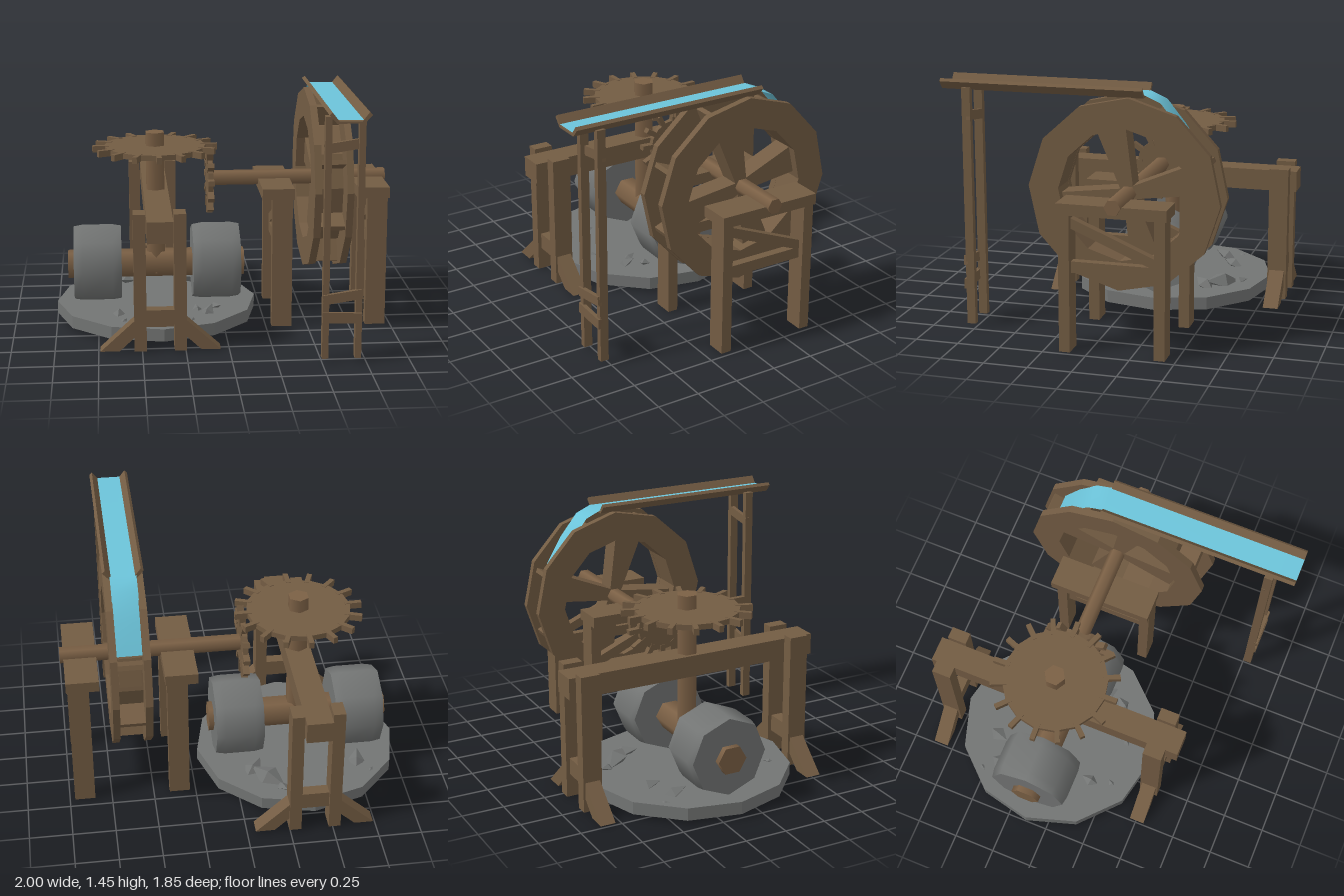
import * as THREE from 'three';
import { toCreasedNormals } from 'three/addons/utils/BufferGeometryUtils.js';

export function createModel() {
  const root = new THREE.Group();
  root.name = 'waterMill';
  const mat = (name, color, side = THREE.FrontSide) => {
    const m = new THREE.MeshStandardMaterial({ color, side });
    m.name = name;
    return m;
  };
  const wood = mat('wood', 0x735c43);
  const shaftWood = mat('shaftWood', 0x7b6045);
  const stone = mat('stone', 0x737574);
  const water = mat('water', 0x6cc4da, THREE.DoubleSide);

  const CX = -0.395, CZ = -0.155, AY = 0.855; // mill centre and wheel axle height
  let seed = 7;
  const rnd = () => (seed = (seed * 16807) % 2147483647) / 2147483647;

  const group = (name, parent = root) => {
    const g = new THREE.Group();
    g.name = name;
    parent.add(g);
    return g;
  };
  const add = (parent, name, geo, material, x = 0, y = 0, z = 0) => {
    const m = new THREE.Mesh(geo, material);
    m.name = name;
    m.position.set(x, y, z);
    parent.add(m);
    return m;
  };
  // Box given by its limits on each axis
  const box = (parent, name, x0, x1, y0, y1, z0, z1) => add(parent, name,
    new THREE.BoxGeometry(x1 - x0, y1 - y0, z1 - z0), wood, (x0 + x1) / 2, (y0 + y1) / 2, (z0 + z1) / 2);
  // Side-on shape (right = -z, up = y) extruded along x
  const sidePlate = (parent, name, shape, x0, x1, y = 0, z = 0) => {
    const geo = new THREE.ExtrudeGeometry(shape, { depth: x1 - x0, bevelEnabled: false });
    const m = add(parent, name, geo, wood, x0, y, z);
    m.rotation.y = Math.PI / 2;
    return m;
  };
  // Shape from points turned by an angle about the origin
  const turnedShape = (points, a) => new THREE.Shape(points
    .map(([x, y]) => new THREE.Vector2(x, y).rotateAround(new THREE.Vector2(), a)));
  const polygon = (n, r, turn = 0) => Array.from({ length: n }, (_, i) => {
    const a = turn + (i * 2 * Math.PI) / n;
    return new THREE.Vector2(Math.cos(a) * r, Math.sin(a) * r);
  });
  const rodX = (parent, name, x0, x1, r, y, z) => {
    const m = add(parent, name, new THREE.CylinderGeometry(r, r, x1 - x0, 6), shaftWood, (x0 + x1) / 2, y, z);
    m.rotation.z = Math.PI / 2;
    return m;
  };

  // Grinding bed with scattered ore: x, z, size
  const bed = group('grindingBed');
  add(bed, 'bed', toCreasedNormals(new THREE.CylinderGeometry(0.605, 0.605, 0.075, 12), 0.4), stone, CX, 0.065, CZ)
    .rotation.y = 0.04;
  const ore = [[-0.18, -0.51, 0.11], [-0.57, -0.5, 0.07], [-0.73, -0.42, 0.075], [-0.8, -0.51, 0.025],
    [-0.63, 0.15, 0.055], [-0.1, 0.16, 0.06], [-0.2, 0.28, 0.035], [-0.32, 0.27, 0.03],
    [-0.6, 0.28, 0.03], [-0.05, 0.05, 0.05], [-0.25, -0.6, 0.05], [-0.1, -0.42, 0.08], [-0.16, 0.1, 0.045]];
  for (const [x, z, r] of ore) {
    const m = add(bed, 'oreShard', new THREE.OctahedronGeometry(r), stone, x, 0.095 + r * 0.2, z);
    m.scale.set(1.1, 0.5, 0.65);
    m.rotation.set(rnd() - 0.5, rnd() * 6, rnd() - 0.5);
  }

  // Rolling millstones on a cross axle
  const rollers = group('rollers');
  rodX(rollers, 'rollerAxle', -0.93, 0.14, 0.088, 0.33, CZ);
  const stoneProfile = [[0, -0.143], [0.23, -0.143], [0.24, -0.09], [0.24, 0.09], [0.23, 0.143], [0, 0.143]]
    .map(([r, h]) => new THREE.Vector2(r, h));
  for (const x of [-0.75, -0.033]) {
    add(rollers, 'millstone', toCreasedNormals(new THREE.LatheGeometry(stoneProfile, 8), 0.9), stone, x, 0.336, CZ)
      .rotation.z = Math.PI / 2;
  }
  add(rollers, 'uprightShaft', new THREE.CylinderGeometry(0.062, 0.062, 0.87, 6), shaftWood, CX, 0.71, CZ);

  // Toothed wheels, built flat in their own frame
  const gear = (name, r, tip, teeth, thick) => {
    const g = group(name);
    add(g, 'gearDisc', toCreasedNormals(new THREE.CylinderGeometry(r, r, thick, 16), 0.3), wood);
    for (let i = 0; i < teeth; i++) {
      const pivot = group('tooth', g);
      pivot.rotation.y = ((i + 0.1) * 2 * Math.PI) / teeth;
      add(pivot, 'toothPeg', new THREE.BoxGeometry(tip - r + 0.03, 0.038, 0.029), wood, (tip + r - 0.03) / 2, 0, 0);
    }
    return g;
  };
  gear('crownGear', 0.305, 0.375, 16, 0.032).position.set(CX, 1.048, CZ);
  const pinion = gear('pinionGear', 0.15, 0.212, 12, 0.03);
  pinion.position.set(-0.068, AY, CZ);
  pinion.rotation.z = Math.PI / 2;

  // Mill frame: one long beam held between two pairs of posts
  const frame = group('millFrame');
  box(frame, 'longBeam', -0.47, -0.32, 0.67, 0.795, -0.925, 0.635);
  for (const z of [0.505, -0.83]) {
    box(frame, 'crossBar', -0.48, -0.31, 0.15, 0.25, z - 0.035, z + 0.035);
    for (const s of [-1, 1]) {
      const inner = CX + s * 0.08, outer = CX + s * 0.15;
      box(frame, 'framePost', Math.min(inner, outer), Math.max(inner, outer), 0.012, 0.82, z - 0.057, z + 0.057);
      // Slanting foot brace
      const foot = new THREE.Shape([[0.14, 0.2], [0.14, 0.1], [0.235, 0.012], [0.345, 0.012]]
        .map(([x, y]) => new THREE.Vector2(s * x, y)));
      add(frame, 'footBrace', new THREE.ExtrudeGeometry(foot, { depth: 0.09, bevelEnabled: false }), wood,
        CX, 0, z - 0.045);
    }
  }

  // Water wheel
  const wheel = group('waterWheel');
  const WY = 0.853, WZ = -0.139;
  for (const [x0, x1] of [[0.503, 0.545], [0.69, 0.73]]) {
    const rim = new THREE.Shape(polygon(12, 0.548, -0.05));
    rim.holes.push(new THREE.Path(polygon(12, 0.375, -0.05).reverse()));
    sidePlate(wheel, 'wheelRim', rim, x0, x1, WY, WZ);
  }
  const sole = new THREE.Shape(polygon(12, 0.392, -0.05));
  sole.holes.push(new THREE.Path(polygon(12, 0.376, -0.05).reverse()));
  sidePlate(wheel, 'wheelSole', sole, 0.54, 0.695, WY, WZ);
  for (let i = 0; i < 8; i++) {
    const paddle = turnedShape([[0.38, -0.014], [0.515, -0.014], [0.515, 0.014], [0.38, 0.014]],
      ((i + 0.5) * Math.PI) / 4);
    sidePlate(wheel, 'paddle', paddle, 0.54, 0.695, WY, WZ);
  }
  for (let i = 0; i < 4; i++) {
    const spoke = turnedShape([[0.02, -0.035], [0.38, -0.085], [0.38, 0.085], [0.02, 0.035]],
      ((15 + 90 * i) * Math.PI) / 180);
    sidePlate(wheel, 'spoke', spoke, 0.555, 0.68, AY, CZ);
  }
  rodX(wheel, 'wheelAxle', -0.06, 1.0, 0.047, AY, CZ);

  // Trestles carrying the wheel axle
  for (const [name, x] of [['innerTrestle', 0.32], ['outerTrestle', 0.885]]) {
    const t = group(name);
    box(t, 'bearingCap', x - 0.095, x + 0.095, 0.79, 0.855, -0.45, 0.17);
    for (const z of [0.13, -0.41]) box(t, 'trestleLeg', x - 0.035, x + 0.085, 0.005, 0.8, z - 0.031, z + 0.031);
    box(t, 'trestleRail', x, x + 0.05, 0.455, 0.52, -0.39, 0.11);
    const brace = new THREE.Shape([[-0.11, 0.71], [-0.11, 0.77], [0.39, 0.56], [0.39, 0.5]]
      .map(([h, y]) => new THREE.Vector2(h, y)));
    sidePlate(t, 'trestleBrace', brace, x, x + 0.05);
  }

  // Flume on two tall posts with rungs
  const flume = group('flume');
  const section = new THREE.Shape([[-0.116, 1.442], [-0.075, 1.396], [0.075, 1.396], [0.116, 1.442],
    [0.1, 1.457], [0.062, 1.408], [-0.062, 1.408], [-0.1, 1.457]].map(([x, y]) => new THREE.Vector2(x, y)));
  add(flume, 'trough', new THREE.ExtrudeGeometry(section, { depth: 1.17, bevelEnabled: false }), wood, 0.617, 0, -0.245);
  for (const x of [0.518, 0.704]) box(flume, 'flumePost', x - 0.018, x + 0.018, 0.027, 1.41, 0.75, 0.8);
  for (const [y, h, tilt] of [[0.268, 0.06, -0.03], [0.39, 0.055, 0.15], [1.24, 0.055, 0.15]]) {
    const z = y > 1 ? 0.762 : 0.8;
    box(flume, 'flumeRung', 0.5, 0.722, y - h / 2, y + h / 2, z - 0.012, z + 0.012).rotation.z = tilt;
  }

  // Water runs along the trough and spills over the wheel
  const path = [[0.925, 1.416], [-0.245, 1.416], [-0.34, 1.375], [-0.45, 1.24], [-0.545, 1.08]];
  const sheet = new THREE.PlaneGeometry(0.15, 1, 1, path.length - 1);
  const pos = sheet.attributes.position;
  for (let i = 0; i < pos.count; i++) {
    const [z, y] = path[path.length - 1 - (i >> 1)];
    pos.setXYZ(i, 0.617 + pos.getX(i), y, z);
  }
  // Rows run from the wheel to the trough mouth, so the sheet faces up
  sheet.computeVertexNormals();
  add(root, 'waterStream', sheet, water);

  return root;
}
